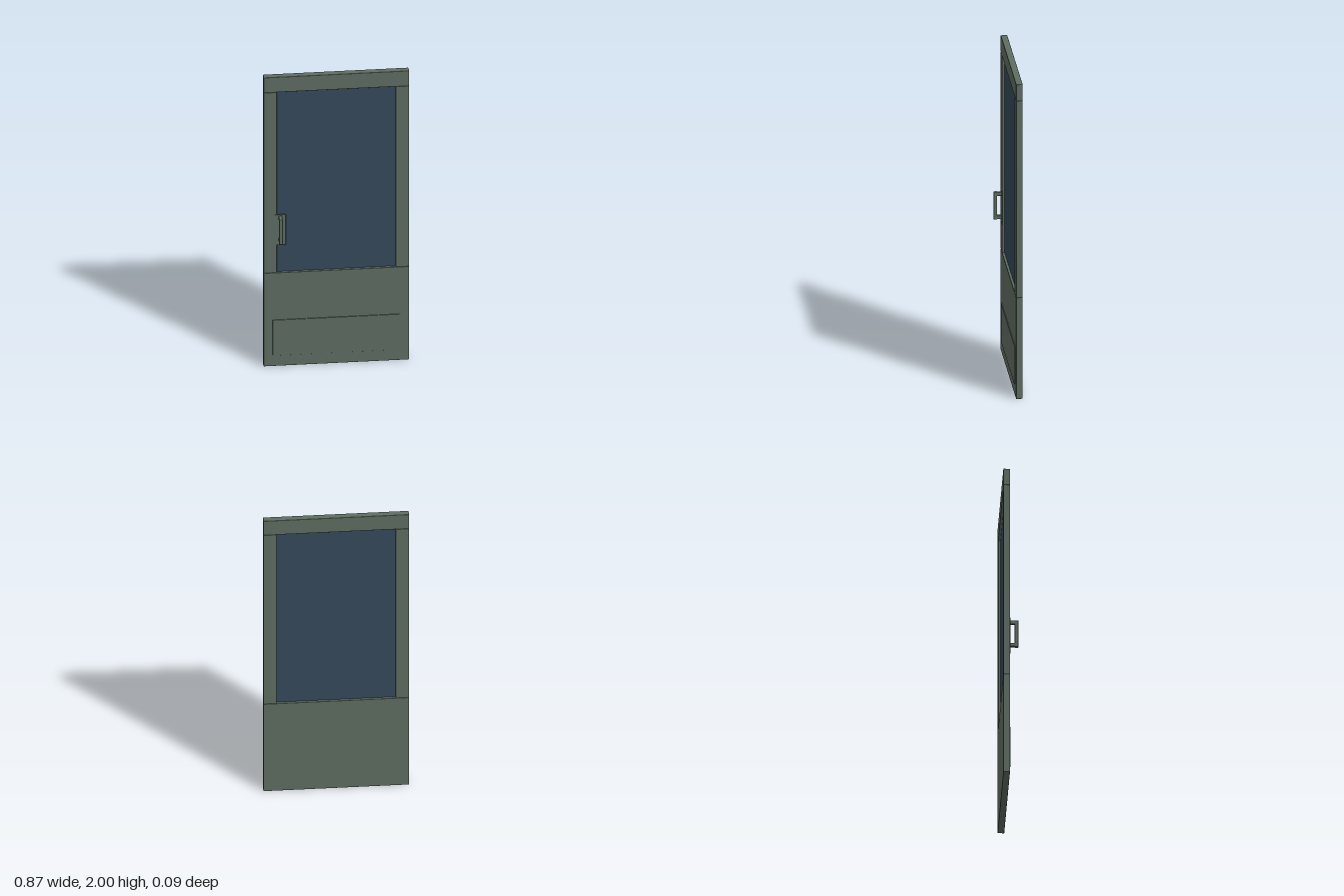
import * as THREE from 'three';
import { RoundedBoxGeometry } from 'three/addons/geometries/RoundedBoxGeometry.js';

export function createModel() {
  const door = new THREE.Group();
  door.name = 'door';

  const paint = new THREE.MeshStandardMaterial({ color: 0x5f6d62 });
  paint.name = 'greyGreenPaint';
  const glass = new THREE.MeshStandardMaterial({ color: 0x354a5b });
  glass.name = 'darkBlueGlass';

  // Box given by its min and max corners, with softly rounded edges
  function block(name, [x0, y0, z0], [x1, y1, z1], radius, material = paint, parent = door) {
    const w = x1 - x0, h = y1 - y0, d = z1 - z0;
    const geometry = radius > 0
      ? new RoundedBoxGeometry(w, h, d, 2, radius)
      : new THREE.BoxGeometry(w, h, d);
    const mesh = new THREE.Mesh(geometry, material);
    mesh.position.set((x0 + x1) / 2, (y0 + y1) / 2, (z0 + z1) / 2);
    mesh.name = name;
    parent.add(mesh);
  }

  const W = 0.437, inner = 0.357, back = -0.047, front = -0.007;
  const sill = 0.645, head = 1.895, r = 0.003;

  // Frame: solid lower panel, top rail and two stiles
  block('lowerPanel', [-W, 0, back], [W, sill, front], r);
  block('topRail', [-W, head, back], [W, 2, front], r);
  block('rightStile', [-W, sill, back], [-inner, head, front], r);
  block('leftStile', [inner, sill, back], [W, head, front], r);

  // Window pane set into the middle of the frame
  block('windowPane', [-inner - 0.005, sill - 0.005, -0.032], [inner + 0.005, head + 0.005, -0.022], 0, glass);

  // Kick plate on the lower panel
  block('kickPlate', [-0.382, 0.075, front - 0.001], [0.382, 0.32, -0.002], 0.001);

  // Pull handle: backing plate, two standoffs and a grip
  const handle = new THREE.Group();
  handle.name = 'pullHandle';
  door.add(handle);
  block('handlePlate', [-0.37, 0.84, front - 0.001], [-0.304, 1.05, 0], 0.002, paint, handle);
  for (const [name, y] of [['lowerStandoff', 0.87], ['upperStandoff', 1.018]]) {
    block(name, [-0.347, y, -0.002], [-0.327, y + 0.022, 0.03], 0.002, paint, handle);
  }
  block('handleGrip', [-0.348, 0.868, 0.025], [-0.326, 1.042, 0.047], 0.004, paint, handle);

  return door;
}
